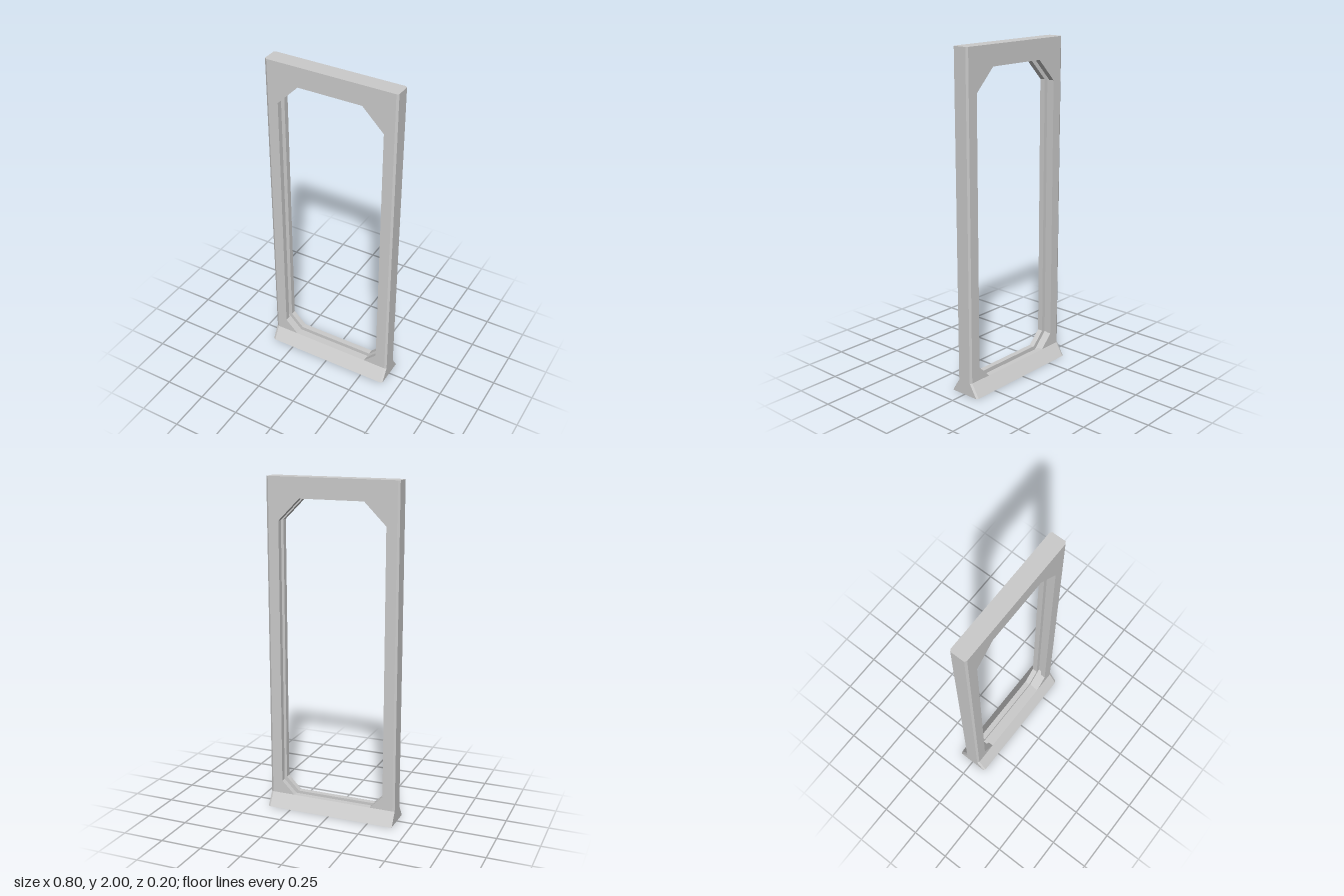
import * as THREE from 'three';

const W = 0.4, H = 2, T = 0.05, FOOT = 0.1, FOOT_H = 0.08;
const CX = 0.013, CZ = 0.008; // bevel of the vertical corners
const GROOVE_W = 0.017, GROOVE_D = 0.025;

const material = new THREE.MeshStandardMaterial({
  color: 0xcccccc, flatShading: true, side: THREE.DoubleSide,
});

function addMesh(group, name, geometry) {
  const mesh = new THREE.Mesh(geometry, material);
  mesh.name = name;
  group.add(mesh);
  return mesh;
}

// Joins closed rings of points with quads; keep(j) can leave sides open
function loft(rings, keep = () => true) {
  const pos = [];
  for (let i = 0; i < rings.length - 1; i++) {
    const n = rings[i].length;
    for (let j = 0; j < n; j++) {
      if (!keep(j)) continue;
      const k = (j + 1) % n;
      const a = rings[i][j], b = rings[i][k], c = rings[i + 1][k], d = rings[i + 1][j];
      pos.push(...a, ...b, ...c, ...a, ...c, ...d);
    }
  }
  const g = new THREE.BufferGeometry();
  g.setAttribute('position', new THREE.Float32BufferAttribute(pos, 3));
  g.computeVertexNormals();
  return g;
}

// Bevelled rectangle, running from the front edge round to the back
function outline(z) {
  return [
    [-W + CX, z], [W - CX, z], [W, z - CZ], [W, -z + CZ],
    [W - CX, -z], [-W + CX, -z], [-W, -z + CZ], [-W, z - CZ],
  ];
}
const ringAt = (y, z) => outline(z).map(([x, zz]) => [x, y, zz]);

// Opening with cut corners, counter-clockwise from the lower left
const half = [[0.245, FOOT_H], [0.325, 0.16], [0.325, 1.75], [0.195, 1.88]];
const opening = [...half, ...half.slice().reverse().map(([x, y]) => [-x, y])]
  .map(([x, y]) => new THREE.Vector2(x, y));

// Moves the opening outwards by d with mitred corners
function offsetOpening(d) {
  const n = opening.length;
  const normal = (a, b) => new THREE.Vector2(b.y - a.y, a.x - b.x).normalize();
  return opening.map((p, i) => {
    const n1 = normal(opening[(i + n - 1) % n], p);
    const n2 = normal(p, opening[(i + 1) % n]);
    return p.clone().addScaledVector(n1.clone().add(n2), d / (1 + n1.dot(n2)));
  });
}

export function createModel() {
  const group = new THREE.Group();
  group.name = 'doorFrame';

  // Flared hollow foot, open underneath
  addMesh(group, 'flaredFoot', loft([ringAt(0, FOOT), ringAt(FOOT_H, T)]));

  // Bevelled outer sides of the posts
  addMesh(group, 'outerSides',
    loft([ringAt(FOOT_H, T), ringAt(H, T)], (j) => j !== 0 && j !== 4));

  // Top of the lintel
  const cap = new THREE.ShapeGeometry(
    new THREE.Shape(outline(T).map(([x, z]) => new THREE.Vector2(x, -z))));
  cap.rotateX(-Math.PI / 2).translate(0, H, 0);
  addMesh(group, 'lintelTop', cap);

  // Front and back faces, whose lower edge meets the sill
  const x = W - CX;
  const edge = [
    new THREE.Vector2(x, FOOT_H), new THREE.Vector2(x, H),
    new THREE.Vector2(-x, H), new THREE.Vector2(-x, FOOT_H),
    ...opening.slice().reverse(),
  ];
  for (const [name, turn] of [['frontFace', 0], ['backFace', Math.PI]]) {
    const face = new THREE.ShapeGeometry(new THREE.Shape(edge));
    face.translate(0, 0, T).rotateY(turn);
    addMesh(group, name, face);
  }

  // Inner lining with a groove running all the way round
  const profile = [
    [0, T], [0, GROOVE_W], [GROOVE_D, GROOVE_W],
    [GROOVE_D, -GROOVE_W], [0, -GROOVE_W], [0, -T],
  ];
  addMesh(group, 'groovedLining',
    loft(profile.map(([d, z]) => offsetOpening(d).map((p) => [p.x, p.y, z]))));

  return group;
}
